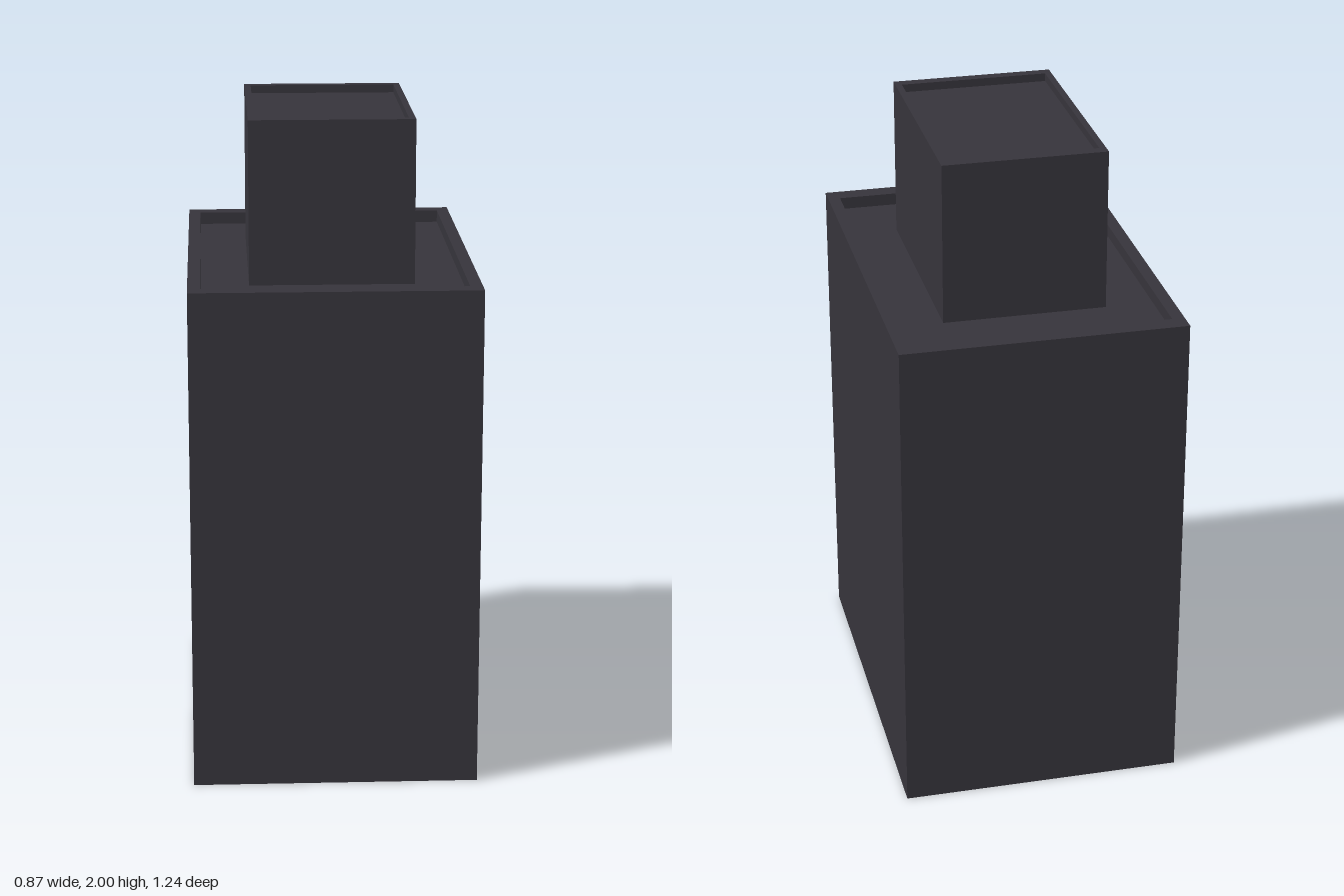
import * as THREE from 'three';

// Box with a shallow recess in its top, skinned through rectangular loops [halfX, y, halfZ]
function recessedBox(loops) {
  const pos = [];
  const corner = ([x, y, z], i) => [[x, y, z], [x, y, -z], [-x, y, -z], [-x, y, z]][i % 4];
  const quad = (a, b, c, d) => pos.push(...a, ...b, ...c, ...a, ...c, ...d);
  for (let k = 0; k < loops.length - 1; k++) {
    const lo = loops[k], hi = loops[k + 1];
    for (let i = 0; i < 4; i++) {
      quad(corner(lo, i), corner(lo, i + 1), corner(hi, i + 1), corner(hi, i));
    }
  }
  // Recess floor and underside
  const top = loops[loops.length - 1], base = loops[0];
  quad(...[0, 1, 2, 3].map((i) => corner(top, i)));
  quad(...[3, 2, 1, 0].map((i) => corner(base, i)));
  const geometry = new THREE.BufferGeometry();
  geometry.setAttribute('position', new THREE.Float32BufferAttribute(pos, 3));
  geometry.computeVertexNormals();
  return geometry;
}

export function createModel() {
  const charcoal = new THREE.MeshStandardMaterial({ color: 0x36343b });
  charcoal.name = 'charcoal';
  const model = new THREE.Group();
  model.name = 'steppedTower';

  const addBlock = (name, loops) => {
    const mesh = new THREE.Mesh(recessedBox(loops), charcoal);
    mesh.name = name;
    model.add(mesh);
  };

  // Main block with a rim around its roof
  addBlock('mainBlock', [
    [0.433, 0, 0.621], [0.433, 1.54, 0.621], [0.395, 1.54, 0.565], [0.395, 1.502, 0.565],
  ]);
  // Smaller block standing on the sunken roof
  addBlock('upperBlock', [
    [0.249, 1.502, 0.361], [0.249, 2, 0.361], [0.229, 2, 0.328], [0.229, 1.975, 0.328],
  ]);
  return model;
}
